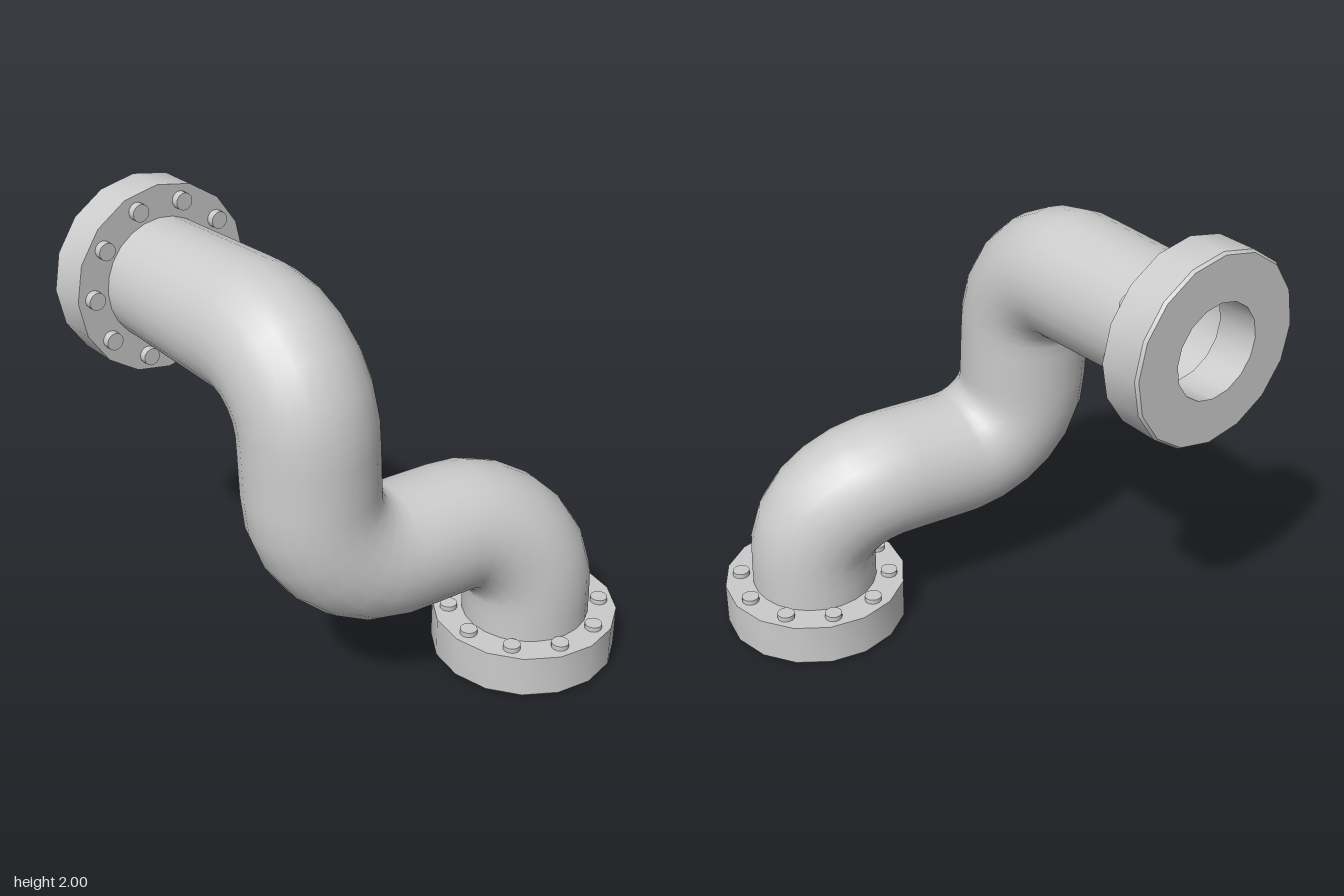
import * as THREE from 'three';
import { toCreasedNormals } from 'three/addons/utils/BufferGeometryUtils.js';

const V = (x, y, z) => new THREE.Vector3(x, y, z);
const grey = new THREE.MeshStandardMaterial({ color: 0xcccccc });
const pipeGrey = new THREE.MeshStandardMaterial({ color: 0xcccccc, side: THREE.DoubleSide });

// Quarter bend from p (heading d) to q (heading e)
const BEND = 0.34;
function elbow(p, d, q, e) {
  const k = BEND * 0.552;
  return new THREE.CubicBezierCurve3(
    p, p.clone().addScaledVector(d, k), q.clone().addScaledVector(e, -k), q);
}

// Hollow pipe with three bends, each in a different plane
function makePipe() {
  const bends = [
    elbow(V(-0.1, 1.605, 0.485), V(1, 0, 0), V(0.24, 1.265, 0.485), V(0, -1, 0)),
    elbow(V(0.25, 1.015, 0.485), V(0.05, -1, 0), V(0.335, 0.675, 0.145), V(0.1, 0, -1)),
    elbow(V(0.37, 0.675, -0.14), V(0.15, 0, -1), V(0.5, 0.335, -0.48), V(0, -1, 0)),
  ];
  const path = new THREE.CurvePath();
  let from = V(-0.72, 1.605, 0.485);
  for (const bend of bends) {
    path.add(new THREE.LineCurve3(from, bend.v0));
    path.add(bend);
    from = bend.v3;
  }
  path.add(new THREE.LineCurve3(from, V(0.5, 0.19, -0.48)));

  const geo = new THREE.TubeGeometry(path, 32, 0.275, 24);
  // Slight taper of the upper run towards its flange
  const pos = geo.attributes.position;
  for (let i = 0; i < pos.count; i++) {
    const t = Math.max(0, -0.1 - pos.getX(i)) / 0.62;
    const s = 1 - 0.06 * t;
    pos.setY(i, 1.605 + (pos.getY(i) - 1.605) * s);
    pos.setZ(i, 0.485 + (pos.getZ(i) - 0.485) * s);
  }
  const pipe = new THREE.Mesh(geo, pipeGrey);
  pipe.name = 'pipe';
  return pipe;
}

// Ring flange standing on its outer face, with ten bolts on the inner face
function makeFlange(name, thickness, boltHeight) {
  const flange = new THREE.Group();
  flange.name = name;
  const profile = [
    [0.2, 0], [0.39, 0], [0.4, 0.012], [0.4, thickness], [0.2, thickness], [0.2, 0],
  ].map(([r, y]) => new THREE.Vector2(r, y));
  const ring = new THREE.Mesh(
    toCreasedNormals(new THREE.LatheGeometry(profile, 16), 0.55), grey);
  ring.name = 'flangeRing';
  flange.add(ring);

  const sunk = 0.02;
  const boltGeo = new THREE.CylinderGeometry(0.037, 0.037, boltHeight + sunk, 14);
  for (let i = 0; i < 10; i++) {
    const a = Math.PI / 2 + (i * Math.PI) / 5;
    const bolt = new THREE.Mesh(boltGeo, grey);
    bolt.name = 'bolt';
    bolt.position.set(0.33 * Math.cos(a), thickness + (boltHeight - sunk) / 2, 0.33 * Math.sin(a));
    flange.add(bolt);
  }
  return flange;
}

export function createModel() {
  const model = new THREE.Group();
  model.name = 'flangedPipe';
  model.add(makePipe());

  const lower = makeFlange('lowerFlange', 0.197, 0.022);
  lower.position.set(0.497, 0, -0.48);
  model.add(lower);

  const upper = makeFlange('upperFlange', 0.185, 0.033);
  upper.rotation.z = -Math.PI / 2;
  upper.position.set(-0.895, 1.602, 0.482);
  model.add(upper);
  return model;
}
